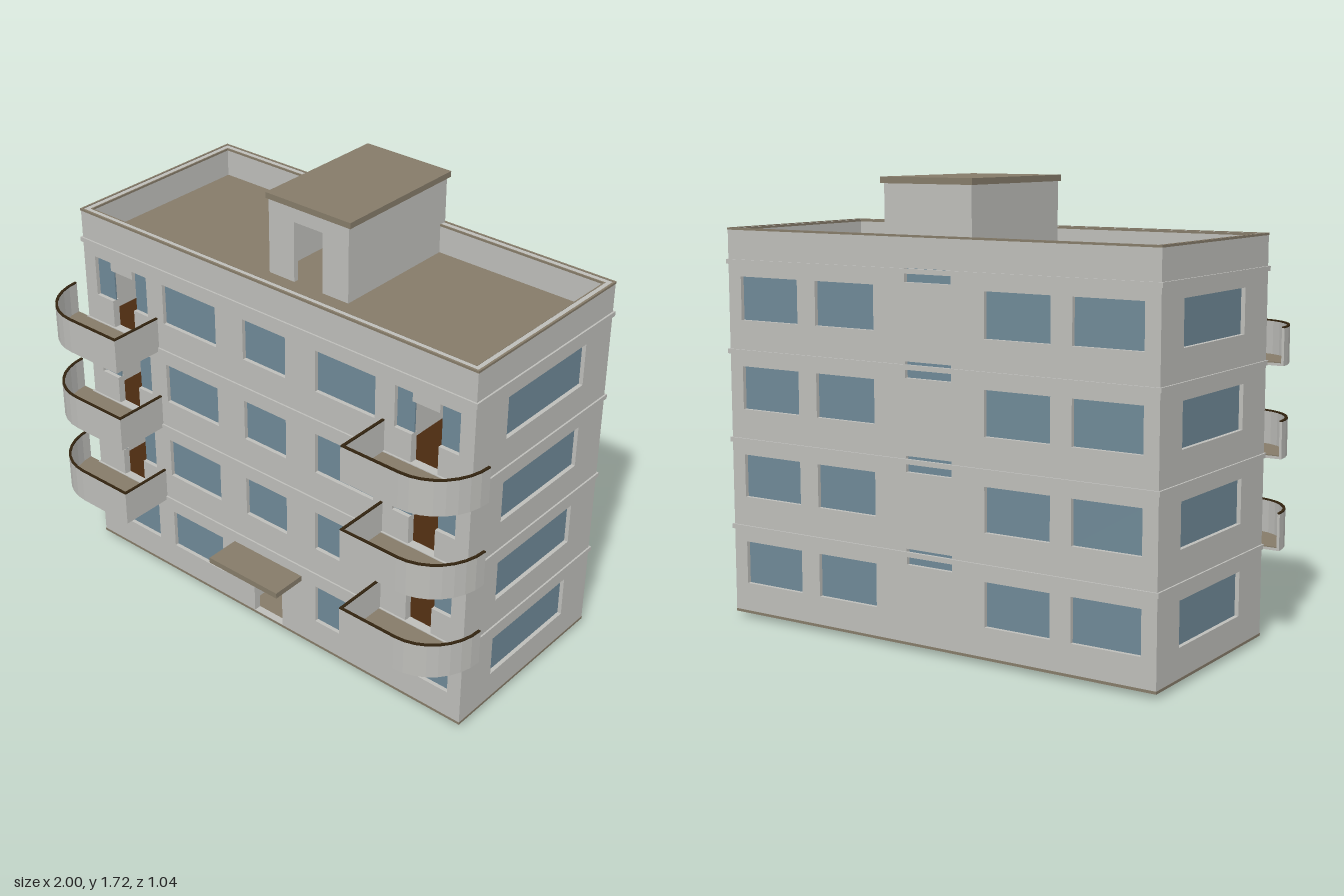
import * as THREE from 'three';

const mat = (name, color) => {
  const m = new THREE.MeshStandardMaterial({ color });
  m.name = name;
  return m;
};

export function createModel() {
  const concrete = mat('concrete', 0xbdbdb9);
  const slabBrown = mat('slab brown', 0x857b69);
  const glass = mat('glass', 0x6f8997);
  const darkTrim = mat('dark trim', 0x33240f);
  const floorBrown = mat('floor brown', 0x4a2a10);

  const model = new THREE.Group();
  model.name = 'apartmentBlock';
  const X = 0.93, ZF = 0.295, ZB = -0.515, ZC = -0.11, BASE = 0.025, TOP = 1.515;
  const T = 0.03, PITCH = 0.343, ROOF = 1.4;

  const add = (name, geo, material, parent = model) => {
    const m = new THREE.Mesh(geo, material);
    m.name = name;
    parent.add(m);
    return m;
  };
  // box given by its extents on each axis
  const box = (name, material, x0, x1, y0, y1, z0, z1, parent) => {
    const m = add(name, new THREE.BoxGeometry(x1 - x0, y1 - y0, z1 - z0), material, parent);
    m.position.set((x0 + x1) / 2, (y0 + y1) / 2, (z0 + z1) / 2);
    return m;
  };
  const rect = (x0, x1, y0, y1) => [[x0, y0], [x1, y0], [x1, y1], [x0, y1]];
  const toShape = (pts) => new THREE.Shape(pts.map(([x, y]) => new THREE.Vector2(x, y)));

  // wall with openings and recessed panes; the outer face is at local z = 0
  const wall = (name, half, holes, panes) => {
    const g = new THREE.Group();
    g.name = name;
    const shape = toShape(rect(-half, half, BASE, TOP));
    holes.forEach((h) => shape.holes.push(toShape(h)));
    const geo = new THREE.ExtrudeGeometry(shape, { depth: T, bevelEnabled: false });
    geo.translate(0, 0, -T);
    add('wallPanel', geo, concrete, g);
    panes.forEach(([x0, x1, y0, y1]) => box('windowPane', glass, x0, x1, y0, y1, -0.022, -0.016, g));
    model.add(g);
    return g;
  };

  // list the openings storey by storey
  const frontHoles = [], frontPanes = [], backHoles = [], backPanes = [], sideRows = [];
  const opening = (holes, panes, r) => { holes.push(rect(...r)); panes.push(r); };
  for (let k = 0; k < 4; k++) {
    const y0 = 0.14 + PITCH * k, y1 = y0 + 0.166;
    sideRows.push([y0, y1]);
    for (const s of [-1, 1]) {
      const span = (a, b, c, d) => [Math.min(s * a, s * b), Math.max(s * a, s * b), c, d];
      opening(frontHoles, frontPanes, span(0.24, 0.51, y0, y1));
      opening(backHoles, backPanes, span(0.24, 0.51, y0, y1));
      opening(backHoles, backPanes, span(0.595, 0.87, y0, y1));
      if (k === 0) {
        opening(frontHoles, frontPanes, span(0.595, 0.87, y0, y1));
      } else {
        // balcony door between two narrow windows, under a lintel
        const d0 = y0 - 0.115, d1 = y1 - 0.034;
        frontHoles.push([[0.595, y0], [0.67, y0], [0.67, d0], [0.785, d0], [0.785, y0], [0.87, y0],
          [0.87, y1], [0.785, y1], [0.785, d1], [0.67, d1], [0.67, y1], [0.595, y1]].map(([x, y]) => [s * x, y]));
        frontPanes.push(span(0.595, 0.67, y0, y1), span(0.785, 0.87, y0, y1));
      }
    }
    if (k > 0) opening(frontHoles, frontPanes, [-0.105, 0.1, y0, y1]);
    opening(backHoles, backPanes, [-0.1, 0.1, y1 + 0.015, y1 + 0.075]);
  }
  frontHoles.push(rect(-0.075, 0.07, BASE + 0.006, 0.295));

  wall('frontWall', X, frontHoles, frontPanes).position.z = ZF;
  const back = wall('backWall', X, backHoles, backPanes);
  back.position.z = ZB;
  back.rotation.y = Math.PI;
  for (const s of [-1, 1]) {
    const c = s * 0.0125;
    const rows = sideRows.map(([y0, y1]) => [c - 0.2325, c + 0.2325, y0, y1]);
    const side = wall(s > 0 ? 'leftWall' : 'rightWall', (ZF - ZB) / 2 - T, rows.map((r) => rect(...r)), rows);
    side.position.set(s * X, 0, ZC);
    side.rotation.y = s * Math.PI / 2;
  }

  // rectangular ring of four bars around the building, out: overhang, w: width
  const ring = (name, material, out, w, y0, y1) => {
    const x = X + out, f = ZF + out, b = ZB - out;
    box(name, material, -x, x, y0, y1, f - w, f);
    box(name, material, -x, x, y0, y1, b, b + w);
    for (const s of [-1, 1]) {
      const e = s * (x - w / 2);
      box(name, material, e - w / 2, e + w / 2, y0, y1, b + w, f - w);
    }
  };
  for (let k = 0; k < 4; k++) ring('storeyLedge', concrete, 0.007, 0.012, 0.352 + PITCH * k, 0.37 + PITCH * k);
  ring('parapetEdge', slabBrown, 0.002, 0.008, 1.51, 1.518);
  ring('parapetInnerEdge', slabBrown, -0.026, 0.005, 1.508, 1.516);

  // ground slab, inner floors, partitions and roof deck
  box('groundSlab', slabBrown, -X - 0.001, X + 0.001, 0.02, 0.03, ZB - 0.001, ZF + 0.001);
  const xi = X - T, zf = ZF - T, zb = ZB + T;
  for (let k = 1; k < 4; k++) {
    const y = 0.02 + PITCH * k;
    box('storeyFloor', floorBrown, -xi, xi, y - 0.015, y + 0.003, zb, zf);
  }
  box('roofDeck', slabBrown, -xi, xi, ROOF - 0.02, ROOF, zb, zf);
  for (const x of [-0.57, -0.13, 0.13, 0.57]) {
    box('partition', concrete, x - 0.008, x + 0.008, 0.03, ROOF - 0.02, zb, zf);
  }

  // entrance stairs: left flight up to a landing, right flight back up
  const N = 9, rise = 0.0175, run = 0.03;
  for (let i = 0; i < N; i++) {
    const y = 0.03 + rise * i, z = -0.08 - run * i;
    box('lowerStep', slabBrown, -0.12, -0.01, y, y + rise, z - run, z);
    const y2 = 0.18 + rise * i, z2 = -0.35 + run * i;
    box('upperStep', slabBrown, 0.005, 0.12, y2, Math.min(y2 + rise, 0.345), z2, z2 + run);
  }
  box('stairLanding', concrete, -0.12, 0.12, 0.17, 0.187, zb, -0.35);
  box('stairSideWall', concrete, 0.005, 0.12, 0.03, 0.18, -0.12, -0.11);
  box('stairFoot', slabBrown, -0.16, -0.015, 0, 0.022, -0.11, -0.08);

  // entrance canopy
  box('entranceCanopy', slabBrown, -0.175, 0.17, 0.297, 0.32, ZF, 0.438);

  // roof house with an open doorway
  const house = toShape([[-0.19, ROOF], [-0.07, ROOF], [-0.07, 1.64], [0.065, 1.64],
    [0.065, ROOF], [0.185, ROOF], [0.185, 1.697], [-0.19, 1.697]]);
  const houseFront = new THREE.ExtrudeGeometry(house, { depth: 0.02, bevelEnabled: false });
  add('roofHouseFront', houseFront, concrete).position.z = 0.03;
  box('roofHouseSide', concrete, -0.19, -0.17, ROOF, 1.697, -0.514, 0.03);
  box('roofHouseSide', concrete, 0.165, 0.185, ROOF, 1.697, -0.514, 0.03);
  box('roofHouseBack', concrete, -0.17, 0.165, ROOF, 1.697, -0.514, -0.484);
  box('roofHouseRoof', slabBrown, -0.2, 0.195, 1.697, 1.72, -0.525, 0.055);

  // balcony outline, inset by t: straight inner end, straight front, rounded outer end
  const outline = (s, t) => {
    const pts = [[0.543 + t, ZF], [0.543 + t, 0.518 - t]];
    for (let i = 0; i <= 8; i++) {
      const a = (i / 8) * Math.PI / 2;
      pts.push([0.79 + (0.21 - t) * Math.sin(a), ZF + (0.223 - t) * Math.cos(a)]);
    }
    return pts.map(([x, z]) => [s * x, -z]);
  };
  const slab = (name, pts, material, y, h, parent) => {
    const geo = new THREE.ExtrudeGeometry(toShape(pts), { depth: h, bevelEnabled: false });
    geo.rotateX(-Math.PI / 2);
    add(name, geo, material, parent).position.y = y;
  };
  for (const s of [-1, 1]) {
    for (let k = 1; k < 4; k++) {
      const g = new THREE.Group();
      g.name = s > 0 ? 'leftBalcony' : 'rightBalcony';
      const y = 0.01 + PITCH * k;
      const rail = [...outline(s, 0), ...outline(s, 0.01).reverse()];
      slab('balconyParapet', rail, concrete, y, 0.138, g);
      slab('balconyRailCap', rail, darkTrim, y + 0.138, 0.005, g);
      slab('balconySlab', outline(s, 0.01), concrete, y, 0.01, g);
      slab('balconyFloor', outline(s, 0.01), slabBrown, y + 0.01, 0.004, g);
      model.add(g);
    }
  }
  return model;
}
